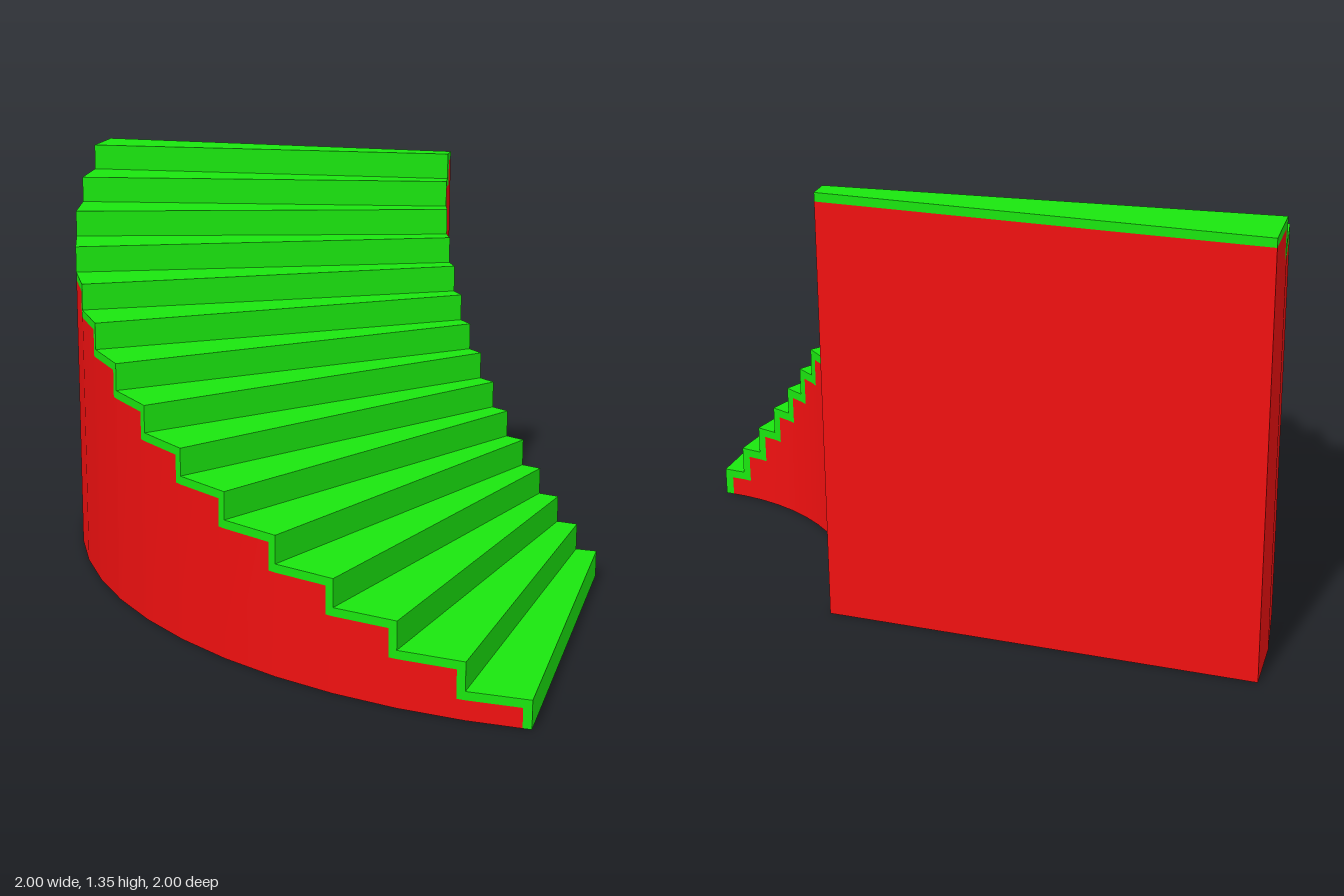
import * as THREE from 'three';
import { toCreasedNormals } from 'three/addons/utils/BufferGeometryUtils.js';

const STEPS = 15, RISE = 1.345 / STEPS, SKIN = 0.027;
const R_IN = 0.67, R_OUT = 1.997;

// Plan position of step edge i on a quarter circle around the corner (1, -1)
function node(i, r) {
  let deg = i * 6;
  if (r === R_OUT && i > 0 && i < STEPS) deg = 5.6 + (i - 1) * 78.8 / 13;
  const a = THREE.MathUtils.degToRad(deg);
  return new THREE.Vector3(1 - r * Math.sin(a), 0, -1 + r * Math.cos(a));
}

// The same edge moved back along the tread by the thickness of the covering
function inset(i, r) {
  const p = node(i, r);
  return p.add(node(i + 1, r).sub(p).setLength(SKIN));
}

const at = (p, y) => p.clone().setY(y);

// Closed solid through four-cornered sections
function loft(sections) {
  const pos = [];
  const tri = (a, b, c) => {
    const area = b.clone().sub(a).cross(c.clone().sub(a)).length();
    if (area > 1e-7) for (const p of [a, b, c]) pos.push(p.x, p.y, p.z);
  };
  const quad = (a, b, c, d) => { tri(a, b, c); tri(a, c, d); };
  for (let j = 0; j < sections.length - 1; j++) {
    const s = sections[j], n = sections[j + 1];
    for (let k = 0; k < 4; k++) {
      const m = (k + 1) % 4;
      quad(s[k], n[k], n[m], s[m]);
    }
  }
  quad(...sections[0]);
  quad(...[...sections[sections.length - 1]].reverse());
  const g = new THREE.BufferGeometry();
  g.setAttribute('position', new THREE.Float32BufferAttribute(pos, 3));
  return toCreasedNormals(g, 0.3);
}

export function createModel() {
  const covering = [], body = [];

  // Three sections per step: foot of riser, top of riser, back of tread
  for (let i = 0; i < STEPS; i++) {
    const lo = i * RISE, hi = lo + RISE;
    const lowLo = Math.max(0, lo - SKIN), lowHi = hi - SKIN;
    const rows = [
      [node, i, lo, inset, i, lowLo],
      [node, i, hi, inset, i, lowHi],
      [node, i + 1, hi, node, i + 1, lowHi],
    ];
    for (const [top, ti, ty, low, li, ly] of rows) {
      const lowIn = low(li, R_IN), lowOut = low(li, R_OUT);
      covering.push([at(top(ti, R_IN), ty), at(top(ti, R_OUT), ty), at(lowOut, ly), at(lowIn, ly)]);
      body.push([at(lowIn, ly), at(lowOut, ly), at(lowOut, 0), at(lowIn, 0)]);
    }
  }

  const group = new THREE.Group();
  group.name = 'curvedStaircase';
  const add = (name, sections, color) => {
    const mesh = new THREE.Mesh(loft(sections), new THREE.MeshStandardMaterial({ color }));
    mesh.name = name;
    group.add(mesh);
  };
  add('treadsAndRisers', covering, 0x1ae60f); // stepped covering
  add('stairBody', body, 0xf01010); // solid base below the steps
  return group;
}
